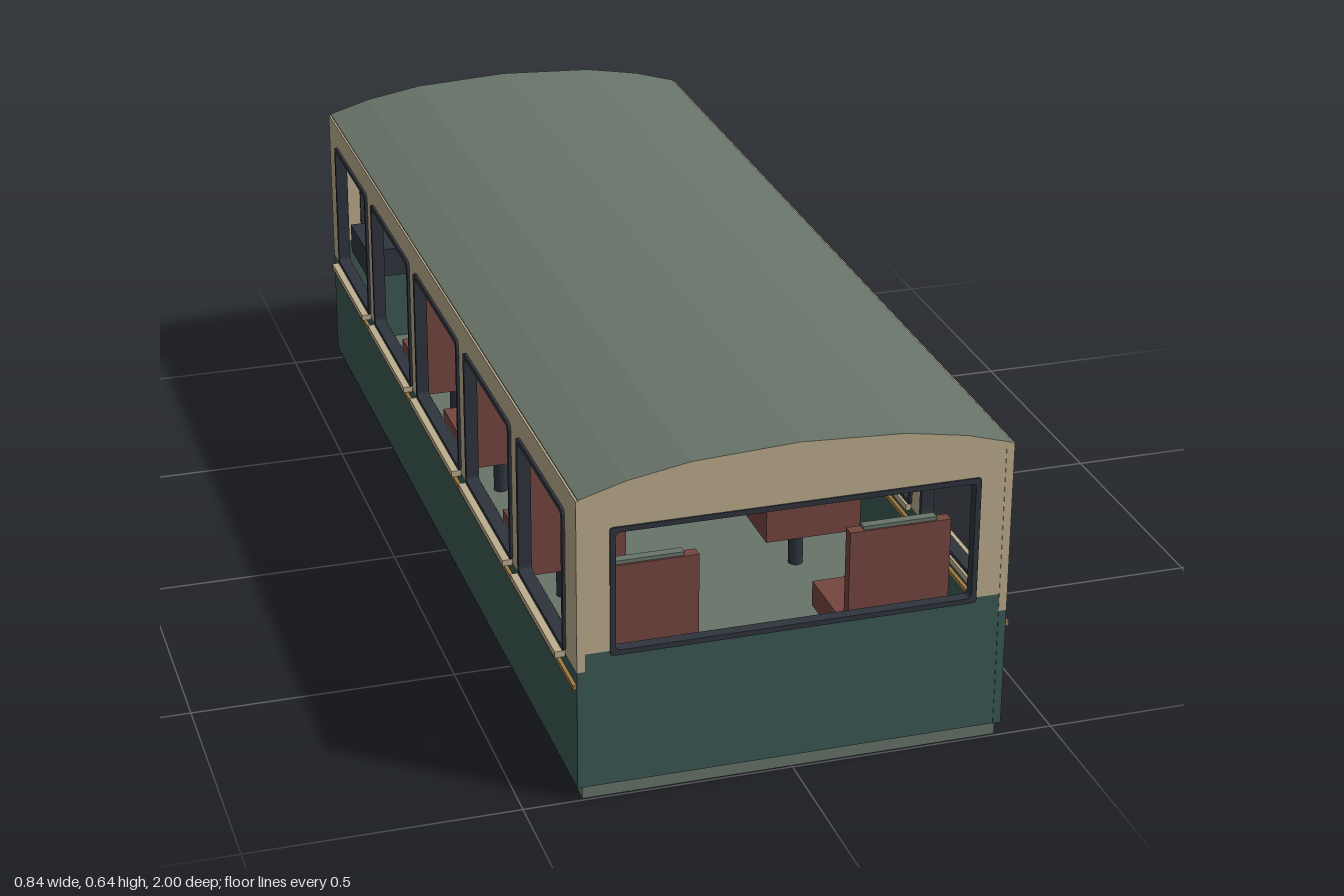
import * as THREE from 'three';

const mat = (name, color, extra = {}) => {
  const m = new THREE.MeshStandardMaterial({ color, ...extra });
  m.name = name;
  return m;
};

export function createModel() {
  const green = mat('body green', 0x3a5853);
  const cream = mat('cream', 0xbdae8d);
  const grey = mat('roof grey green', 0x68746a);
  const red = mat('seat red', 0x75463f);
  const dark = mat('dark trim', 0x2f353d);
  const brass = mat('brass', 0x9c7a40);

  const model = new THREE.Group();
  model.name = 'bus body';

  const add = (name, geo, material, parent = model) => {
    const mesh = new THREE.Mesh(geo, material);
    mesh.name = name;
    parent.add(mesh);
    return mesh;
  };
  // Box given by its limits on each axis
  const box = (name, material, [x0, x1], [y0, y1], [z0, z1], parent = model) => {
    const mesh = add(name, new THREE.BoxGeometry(x1 - x0, y1 - y0, z1 - z0), material, parent);
    mesh.position.set((x0 + x1) / 2, (y0 + y1) / 2, (z0 + z1) / 2);
    return mesh;
  };
  // Rounded rectangle outline, used for shapes and holes
  const outline = (target, x0, x1, y0, y1, r) => {
    target.moveTo(x0 + r, y0);
    target.lineTo(x1 - r, y0).quadraticCurveTo(x1, y0, x1, y0 + r);
    target.lineTo(x1, y1 - r).quadraticCurveTo(x1, y1, x1 - r, y1);
    target.lineTo(x0 + r, y1).quadraticCurveTo(x0, y1, x0, y1 - r);
    target.lineTo(x0, y0 + r).quadraticCurveTo(x0, y0, x0 + r, y0);
    return target;
  };
  const extrude = (shape, depth) =>
    new THREE.ExtrudeGeometry(shape, { depth, bevelEnabled: false, curveSegments: 4 });
  const frameGeo = (x0, x1, y0, y1, r, depth) => {
    const s = outline(new THREE.Shape(), x0, x1, y0, y1, r);
    s.holes.push(outline(new THREE.Path(), x0 + 0.01, x1 - 0.01, y0 + 0.01, y1 - 0.01, 0.01));
    return extrude(s, depth);
  };
  const rod = (name, material, a, b, radius, parent = model) => {
    const p = new THREE.Vector3(...a), q = new THREE.Vector3(...b);
    const dir = q.clone().sub(p);
    const mesh = add(name, new THREE.CylinderGeometry(radius, radius, dir.length(), 12), material, parent);
    mesh.position.copy(p).add(q).multiplyScalar(0.5);
    mesh.quaternion.setFromUnitVectors(new THREE.Vector3(0, 1, 0), dir.normalize());
    return mesh;
  };

  // Underframe and floor
  box('underframe', grey, [-0.39, 0.39], [0, 0.025], [-0.995, 0.995]);
  box('floor', grey, [-0.385, 0.385], [0.025, 0.045], [-0.985, 0.985]);

  // Long sides: green lower panel, cream window band, frames, sills and moulding
  const windows = [[-0.93, -0.62], [-0.57, -0.23], [-0.18, 0.18], [0.23, 0.57], [0.62, 0.93]];
  for (const s of [-1, 1]) {
    const side = new THREE.Group();
    side.name = s > 0 ? 'leftSide' : 'rightSide';
    model.add(side);
    const span = (a, b) => (s > 0 ? [a, b] : [-b, -a]);
    box('lowerSidePanel', green, span(0.385, 0.4), [0.025, 0.257], [-1, 1], side);
    box('sideMoulding', brass, span(0.378, 0.407), [0.223, 0.232], [-0.998, 0.998], side);

    const band = new THREE.Shape([[-1, 0.257], [1, 0.257], [1, 0.588], [-1, 0.588]]
      .map(([x, y]) => new THREE.Vector2(x, y)));
    for (const [a, b] of windows) band.holes.push(outline(new THREE.Path(), a, b, 0.261, 0.54, 0.015));
    const wall = add('windowBand', extrude(band, 0.015), cream, side);
    wall.rotation.y = -Math.PI / 2;
    wall.position.x = s > 0 ? 0.4 : -0.385;

    for (const [a, b] of windows) {
      const frame = add('sideWindowFrame', frameGeo(a, b, 0.26, 0.54, 0.015, 0.025), dark, side);
      frame.rotation.y = -Math.PI / 2;
      frame.position.x = s > 0 ? 0.405 : -0.38;
      box('windowSill', cream, span(0.375, 0.419), [0.25, 0.262], [a, b - 0.005], side);
    }
  }

  // End walls: one wide window at the front, a pair at the back
  const ends = [
    { name: 'frontWall', z: [0.985, 0.999], panes: [[-0.34, 0.34]] },
    { name: 'backWall', z: [-0.999, -0.985], panes: [[-0.34, -0.023], [0.023, 0.34]] },
  ];
  for (const { name, z, panes } of ends) {
    const end = new THREE.Group();
    end.name = name;
    model.add(end);
    box('lowerEndPanel', green, [-0.385, 0.385], [0.025, 0.284], z, end);
    box('windowHeader', cream, [-0.385, 0.385], [0.527, 0.58], z, end);
    const posts = [[-0.385, -0.337], [0.337, 0.385]];
    if (panes.length > 1) posts.push([-0.026, 0.026]);
    for (const p of posts) {
      box('postFoot', green, p, [0.284, 0.291], z, end);
      box('windowPost', cream, p, [0.291, 0.527], z, end);
    }
    for (const [a, b] of panes) {
      add('endWindowFrame', frameGeo(a, b, 0.282, 0.53, 0.006, 0.022), dark, end)
        .position.z = z[0] > 0 ? 0.98 : -1.002;
    }
  }

  // Arched roof, ceiling and gables
  const half = [[0.396, 0.59], [0.31, 0.615], [0.195, 0.635], [0, 0.645]];
  const arch = (drop, k = 1) => [...half, ...half.slice(0, 3).reverse().map(([x, y]) => [-x, y])]
    .map(([x, y]) => new THREE.Vector2(x * k, y - drop));
  const archBand = (top, bottom) => new THREE.Shape([...arch(top), ...arch(bottom).reverse()]);
  add('roof', extrude(archBand(0, 0.004), 2), [cream, grey]).position.z = -1;
  add('ceiling', extrude(archBand(0.004, 0.01), 2), cream).position.z = -1;
  const gable = new THREE.Shape([new THREE.Vector2(0.385, 0.578), ...arch(0.006, 0.972),
    new THREE.Vector2(-0.385, 0.578)]);
  for (const z of [0.985, -0.999]) add('gable', extrude(gable, 0.014), cream).position.z = z;

  // Seats face the driving end
  const seat = (x, z, name) => {
    const g = new THREE.Group();
    g.name = name;
    g.position.set(x, 0, z);
    model.add(g);
    box('seatBack', red, [-0.0965, 0.0965], [0.15, 0.393], [-0.003, 0.02], g);
    box('backPad', red, [-0.085, 0.085], [0.2, 0.376], [-0.019, -0.003], g);
    box('cushion', red, [-0.0965, 0.0965], [0.15, 0.2], [-0.17, -0.003], g);
    box('backCap', grey, [-0.07, 0.07], [0.393, 0.4], [-0.002, 0.016], g);
    rod('seatLeg', dark, [0, 0.045, -0.08], [0, 0.15, -0.08], 0.015, g);
  };
  for (const z of [0.865, 0.412, -0.07]) for (const x of [-0.238, 0.238]) seat(x, z, 'passengerSeat');
  seat(-0.238, -0.445, 'driverSeat');

  // Entry partition, poles and ceiling rails
  box('partition', green, [0.15, 0.385], [0.045, 0.39], [-0.606, -0.594]);
  for (const z of [-0.645, -0.925]) rod('entryPole', brass, [0.291, 0.045, z], [0.291, 0.607, z], 0.006);
  for (const x of [-0.1, 0.1]) {
    rod('ceilingRail', brass, [x, 0.565, -0.6], [x, 0.565, 0.85], 0.006);
    for (const z of [-0.59, 0.12, 0.84]) rod('railHanger', dark, [x, 0.565, z], [x, 0.632, z], 0.005);
  }

  // Driving controls
  box('dashboard', dark, [-0.375, -0.01], [0.29, 0.353], [-0.925, -0.76]);
  box('dashInstrument', brass, [-0.235, -0.175], [0.353, 0.376], [-0.86, -0.82]);
  rod('steeringColumn', dark, [-0.205, 0.34, -0.79], [-0.205, 0.425, -0.772], 0.012);
  const wheel = add('steeringWheel', new THREE.TorusGeometry(0.054, 0.009, 8, 24), dark);
  wheel.position.set(-0.205, 0.43, -0.767);
  wheel.rotation.x = 0.36;

  return model;
}
